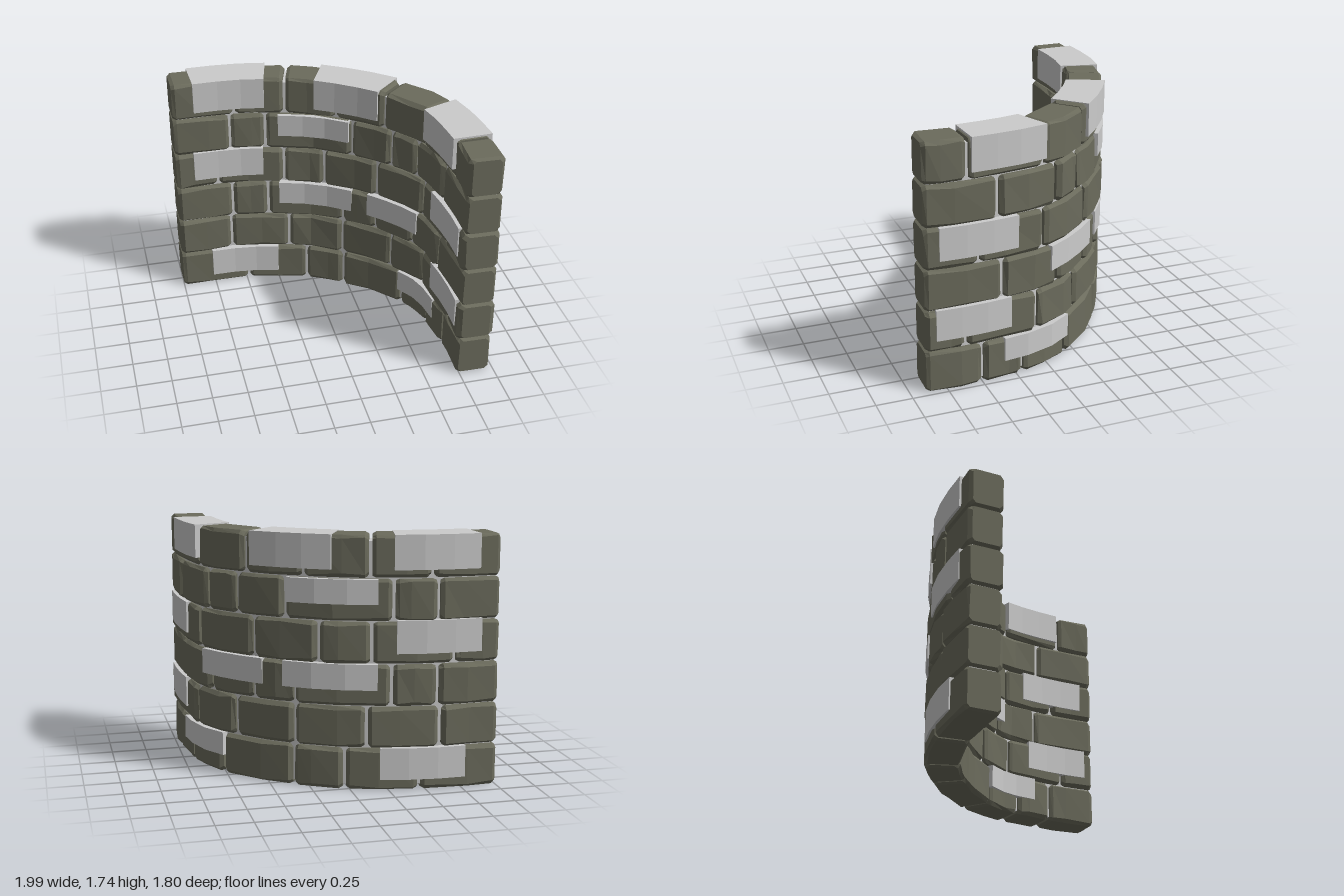
import * as THREE from 'three';

const LENGTH = 2.91; // wall length the joint positions are measured on
const COURSE = 0.289;

// Centre line of the curved wall in plan
const path = new THREE.CatmullRomCurve3([
  [-1, -0.76], [-0.55, -0.765], [-0.3, -0.727], [0.07, -0.61], [0.3, -0.465], [0.51, -0.295],
  [0.77, 0.06], [0.83, 0.35], [0.852, 0.6], [0.848, 0.89],
].map(([x, z]) => new THREE.Vector3(x, 0, z)));

// Brick joints of each course, bottom to top
const joints = [
  [0, 0.53, 1.01, 1.34, 1.88, 2.24, 2.53, LENGTH],
  [0, 0.40, 0.87, 1.33, 1.77, 2.14, 2.64, LENGTH],
  [0, 0.42, 0.71, 1.33, 1.62, 1.98, 2.39, LENGTH],
  [0, 0.31, 0.84, 1.17, 1.62, 2.10, 2.55, LENGTH],
  [0, 0.42, 0.70, 1.40, 1.75, 2.00, 2.42, LENGTH],
  [0, 0.46, 0.85, 1.27, 1.68, 2.10, 2.62, LENGTH],
];

// Smooth pale blocks: start, end, bottom, top
const blocks = [
  [0.23, 0.78, 0.075, 0.295], [1.87, 2.38, 0.13, 0.295],
  [2.33, 2.84, 0.375, 0.592],
  [0.80, 1.41, 0.695, 0.872], [1.55, 2.05, 0.695, 0.872],
  [0.13, 0.68, 0.945, 1.17], [2.28, 2.81, 0.935, 1.16],
  [0.80, 1.38, 1.275, 1.442],
  [0.15, 0.70, 1.505, 1.738], [1.09, 1.63, 1.505, 1.738], [2.10, 2.60, 1.505, 1.738],
];

let seed = 7;
const jitter = (a) => {
  seed = (seed * 16807) % 2147483647;
  return (seed / 2147483647 * 2 - 1) * a;
};

// Point at distance s along the wall, n outward from the centre line, height y
function wallPoint(s, n, y) {
  const u = THREE.MathUtils.clamp(s / LENGTH, 0, 1);
  const p = path.getPointAt(u), t = path.getTangentAt(u);
  return [p.x + t.z * n, y, p.z - t.x * n];
}

// Solid through a row of cross-sections, each a loop of [s, n, y]
function loft(rings) {
  const count = rings[0].length, index = [];
  const points = rings.flat().flatMap((q) => wallPoint(...q));
  for (let i = 0; i < rings.length - 1; i++) {
    for (let k = 0; k < count; k++) {
      const a = i * count + k, b = i * count + (k + 1) % count;
      index.push(a, b, b + count, a, b + count, a + count);
    }
  }
  const last = (rings.length - 1) * count;
  for (let k = 1; k < count - 1; k++) {
    index.push(0, k + 1, k, last, last + k, last + k + 1);
  }
  const geometry = new THREE.BufferGeometry();
  geometry.setAttribute('position', new THREE.Float32BufferAttribute(points, 3));
  geometry.setIndex(index);
  const flat = geometry.toNonIndexed();
  flat.computeVertexNormals();
  return flat;
}

// Plain rectangular bar following the wall
function bar(s0, s1, half, y0, y1, steps) {
  const rings = [];
  for (let i = 0; i <= steps; i++) {
    const s = s0 + (s1 - s0) * i / steps;
    rings.push([[s, -half, y0], [s, half, y0], [s, half, y1], [s, -half, y1]]);
  }
  return loft(rings);
}

// Rough hewn brick: chamfered section, pinched ends, uneven corners
function brick(s0, s1, y0, y1) {
  const c = 0.022, mid = (y0 + y1) / 2;
  const stations = [[s0, 0.02], [s0 + 0.025, 0], [(s0 + s1) / 2 + jitter(0.05), 0], [s1 - 0.025, 0], [s1, 0.02]];
  return loft(stations.map(([s, pinch]) => {
    const out = 0.126 - pinch + jitter(0.007), inn = -0.126 + pinch + jitter(0.007);
    const h = (y1 - y0) / 2 - pinch * 0.6;
    const lo = mid - h, hi = mid + h;
    const section = [
      [inn + c, lo], [out - c, lo], [out, lo + c], [out, hi - c],
      [out - c, hi], [inn + c, hi], [inn, hi - c], [inn, lo + c],
    ];
    return section.map(([n, y], k) => {
      const edge = k === 0 || k === 1 || k === 4 || k === 5;
      return [s, n + jitter(0.005), y + (edge ? 0 : jitter(0.008))];
    });
  }));
}

export function createModel() {
  const model = new THREE.Group();
  model.name = 'curvedBrickWall';
  const stone = new THREE.MeshStandardMaterial({ color: 0x6b6b5c, flatShading: true });
  const pale = new THREE.MeshStandardMaterial({ color: 0xcccccc, flatShading: true });

  const add = (parent, name, geometry, material) => {
    const mesh = new THREE.Mesh(geometry, material);
    mesh.name = name;
    parent.add(mesh);
  };

  // Mortar core
  add(model, 'mortar', bar(0.03, LENGTH - 0.03, 0.09, 0.03, 1.69, 24), pale);

  // Brick courses
  joints.forEach((row, r) => {
    const course = new THREE.Group();
    course.name = `course${r + 1}`;
    for (let i = 0; i < row.length - 1; i++) {
      const s0 = row[i] + (i ? 0.011 : 0);
      const s1 = row[i + 1] - (i < row.length - 2 ? 0.011 : 0);
      const y0 = r * COURSE + (r ? 0.006 : 0);
      add(course, 'brick', brick(s0, s1, y0, (r + 1) * COURSE - 0.001), stone);
    }
    model.add(course);
  });

  // Smooth pale blocks standing slightly proud of the bricks
  for (const [s0, s1, y0, y1] of blocks) {
    add(model, 'paleBlock', bar(s0, s1, 0.138, y0, y1, 3), pale);
  }
  return model;
}
